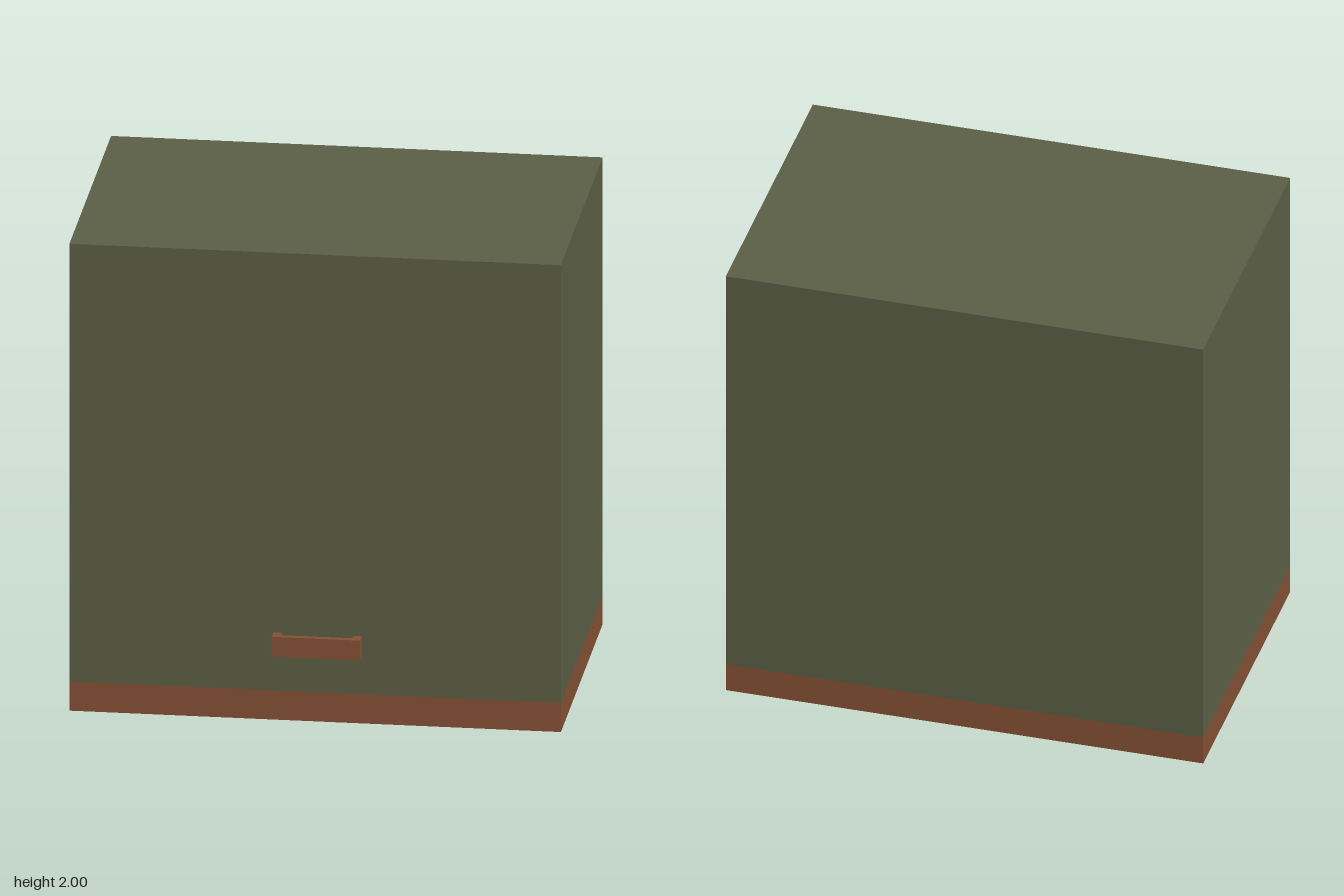
import * as THREE from 'three';

export function createModel() {
  const model = new THREE.Group();
  model.name = 'cabinet';

  const green = new THREE.MeshStandardMaterial({ color: 0x5d6046 });
  green.name = 'olive green';
  const brown = new THREE.MeshStandardMaterial({ color: 0x865235 });
  brown.name = 'rust brown';

  // Box given by its low and high limits on each axis
  function addBox(parent, name, material, [x0, x1], [y0, y1], [z0, z1]) {
    const mesh = new THREE.Mesh(new THREE.BoxGeometry(x1 - x0, y1 - y0, z1 - z0), material);
    mesh.position.set((x0 + x1) / 2, (y0 + y1) / 2, (z0 + z1) / 2);
    mesh.name = name;
    parent.add(mesh);
  }

  // Plinth and body share the same footprint
  const back = -0.68, front = 0.627, plinthTop = 0.125;
  addBox(model, 'plinth', brown, [-1, 1], [0, plinthTop], [back, front]);
  addBox(model, 'body', green, [-1, 1], [plinthTop, 2], [back, front]);

  // U-shaped pull handle, extruded upwards from its plan outline
  const left = -0.17, right = 0.19, post = 0.035, reach = 0.053, bar = 0.025;
  const outline = new THREE.Shape([
    [left, 0], [left, -reach], [right, -reach], [right, 0],
    [right - post, 0], [right - post, bar - reach], [left + post, bar - reach], [left + post, 0],
  ].map(([x, y]) => new THREE.Vector2(x, y)));
  const handle = new THREE.Mesh(
    new THREE.ExtrudeGeometry(outline, { depth: 0.085, bevelEnabled: false }), brown);
  handle.rotation.x = -Math.PI / 2;
  handle.position.set(0, 0.288, front);
  handle.name = 'handle';
  model.add(handle);

  return model;
}
